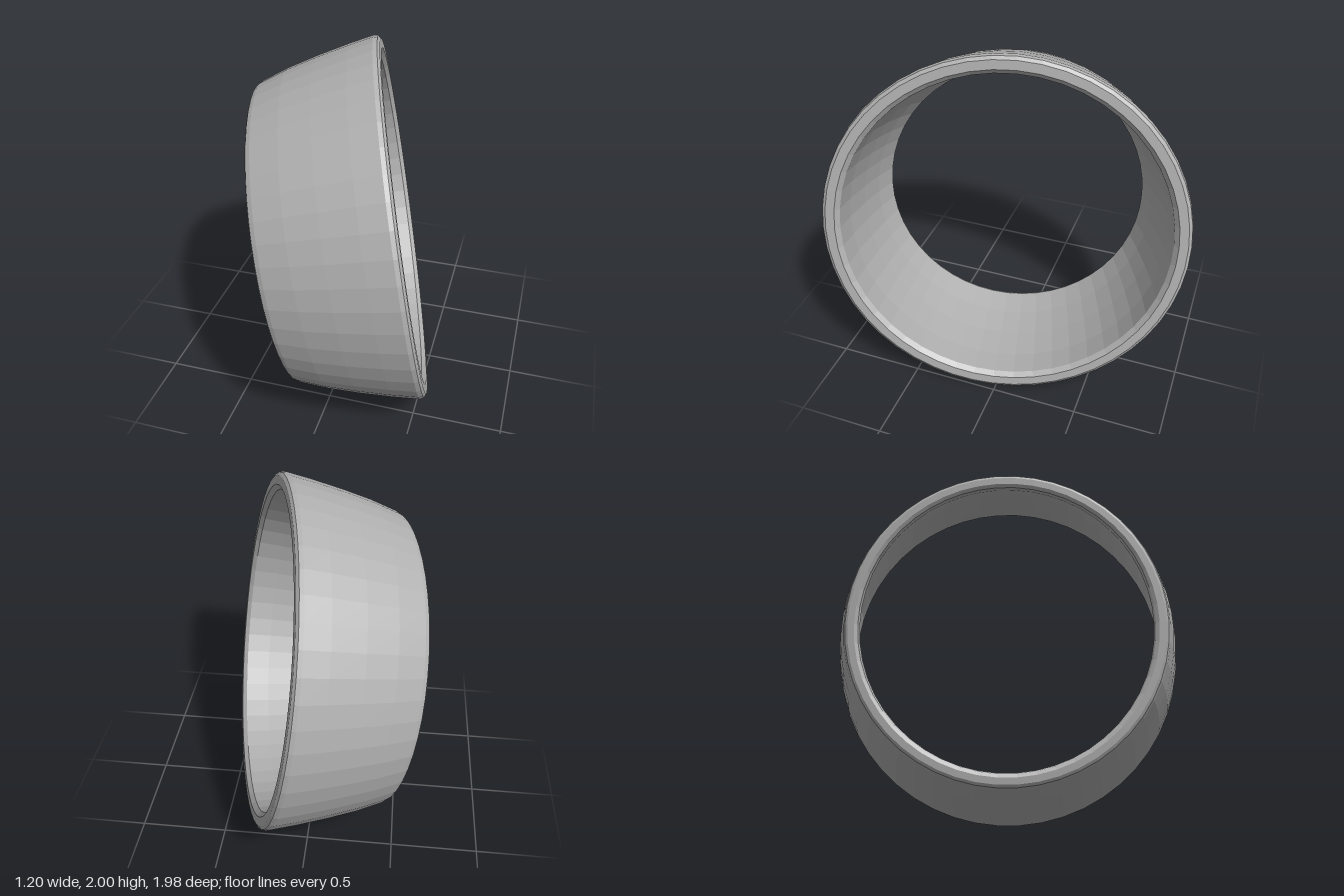
import * as THREE from 'three';

export function createModel() {
  const group = new THREE.Group();
  group.name = 'taperedRing';
  const grey = new THREE.MeshStandardMaterial({ color: 0xb0b0b0, flatShading: true });
  grey.name = 'grey';

  // Closed wall section: [radius, distance along the axis from the wide rim]
  const section = [
    // narrow rim
    [0.80, -0.70], [0.835, -0.70], [0.85, -0.692], [0.862, -0.67],
    // bulging outer wall
    [0.91, -0.52], [0.952, -0.35], [0.99, -0.17], [1.014, -0.035],
    // wide rim
    [1.008, -0.012], [0.99, 0], [0.94, 0], [0.915, -0.025],
    // inner wall
    [0.898, -0.17], [0.863, -0.35], [0.822, -0.52], [0.775, -0.67],
    [0.782, -0.69], [0.80, -0.70],
  ].map(([r, t]) => new THREE.Vector2(r, t));

  const ring = new THREE.Mesh(new THREE.LatheGeometry(section, 50), grey);
  ring.name = 'ring';

  // Lean the axis, with the wide rim towards +x
  const axis = new THREE.Vector3(0.957, 0.165, -0.243).normalize();
  ring.quaternion.setFromUnitVectors(new THREE.Vector3(0, 1, 0), axis);
  ring.position.set(0.305, 1, -0.007);
  group.add(ring);
  return group;
}
